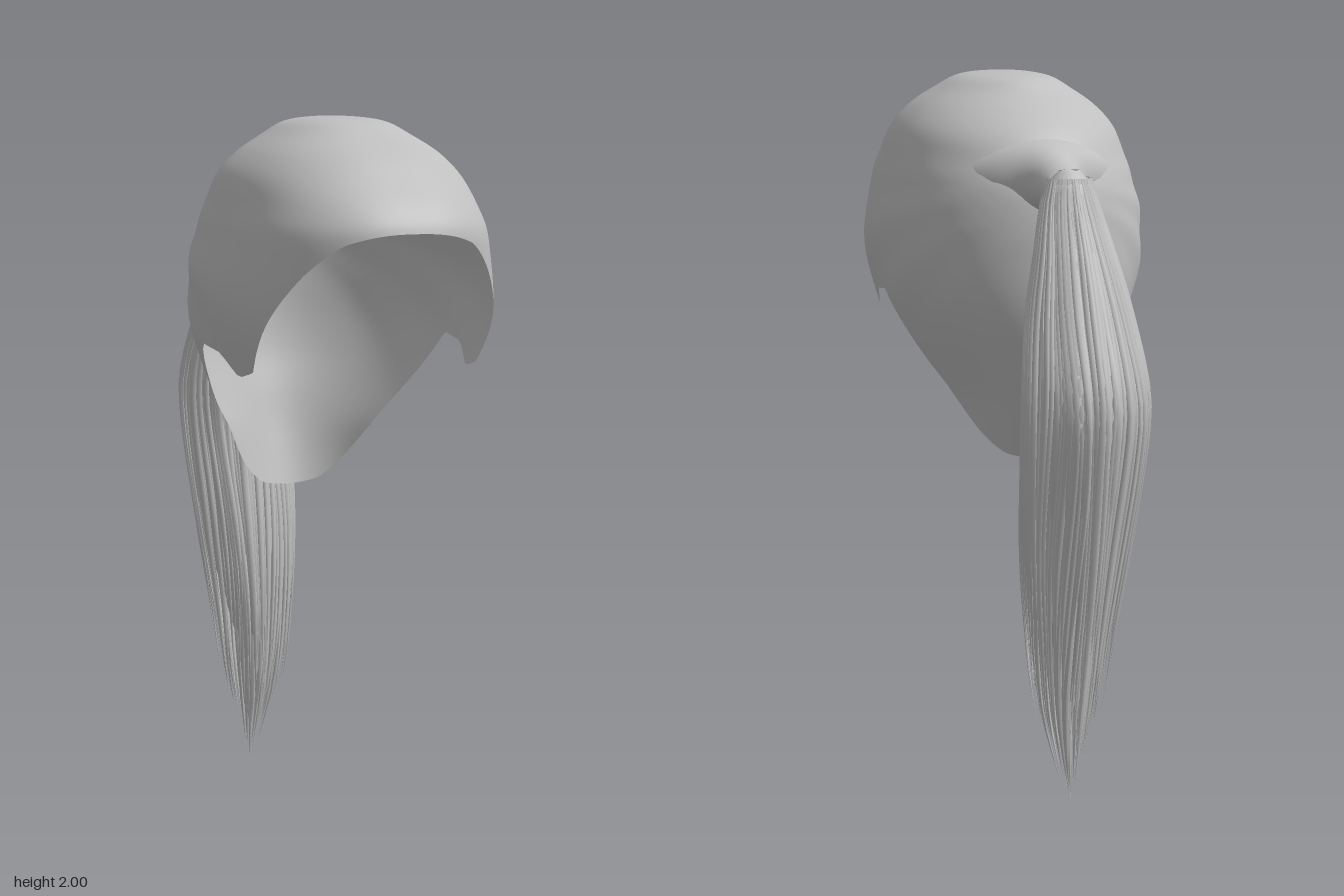
import * as THREE from 'three';

const hair = new THREE.MeshStandardMaterial({ color: 0xbfbfbf, side: THREE.DoubleSide });
hair.name = 'hair grey';

// seeded random numbers
let seed = 7;
const rand = () => (seed = (seed * 16807) % 2147483647) / 2147483647;

// look up a table of rows [key, a, b, ...], smooth or straight between rows
function lookup(table, key, smooth = true) {
  const n = table.length;
  let i = 0;
  while (i < n - 2 && key > table[i + 1][0]) i++;
  const p = table[i], q = table[i + 1], h = q[0] - p[0];
  const t = Math.min(1, Math.max(0, (key - p[0]) / h));
  const o = table[Math.max(0, i - 1)], r = table[Math.min(n - 1, i + 2)];
  return p.slice(1).map((v, k) => {
    const a = v, b = q[k + 1];
    if (!smooth) return a + (b - a) * t;
    const m0 = (b - o[k + 1]) / (q[0] - o[0]) * h;
    const m1 = (r[k + 1] - a) / (r[0] - p[0]) * h;
    const t2 = t * t, t3 = t2 * t;
    return a * (2 * t3 - 3 * t2 + 1) + m0 * (t3 - 2 * t2 + t) + b * (3 * t2 - 2 * t3) + m1 * (t3 - t2);
  });
}

// skin of closed rings: point(t, angle) with t from 0 to 1
function loft(name, rows, sides, point) {
  const pos = [], index = [];
  for (let i = 0; i <= rows; i++) {
    for (let j = 0; j < sides; j++) {
      pos.push(...point(i / rows, j / sides * Math.PI * 2));
      if (i === rows) continue;
      const a = i * sides + j, b = i * sides + (j + 1) % sides;
      index.push(a, b, a + sides, b, b + sides, a + sides);
    }
  }
  const g = new THREE.BufferGeometry();
  g.setAttribute('position', new THREE.Float32BufferAttribute(pos, 3));
  g.setIndex(index);
  g.computeVertexNormals();
  const mesh = new THREE.Mesh(g, hair);
  mesh.name = name;
  return mesh;
}

// head cap: height, front z, back z, half width
const capProfile = [
  [2, 0.2, 0.2, 0], [1.99, 0.36, 0.06, 0.11], [1.95, 0.46, -0.01, 0.19],
  [1.9, 0.55, -0.09, 0.26], [1.84, 0.62, -0.165, 0.31], [1.76, 0.7, -0.22, 0.338],
  [1.7, 0.73, -0.248, 0.36], [1.6, 0.725, -0.262, 0.383], [1.5, 0.72, -0.262, 0.388],
  [1.4, 0.72, -0.255, 0.375], [1.3, 0.72, -0.235, 0.345], [1.2, 0.72, -0.2, 0.307],
  [1.1, 0.7, -0.17, 0.26], [0.98, 0.7, -0.13, 0.245], [0.92, 0.7, -0.11, 0.24],
].map(([y, ...v]) => [Math.sqrt(2 - y), ...v]);

// hairline: position from nape (-1) to forehead (1), height
const hairline = [
  [-1, 0.92], [-0.93, 0.935], [-0.82, 0.98], [-0.54, 1.1], [-0.375, 1.2], [-0.22, 1.28],
  [-0.06, 1.385], [0.16, 1.37], [0.31, 1.31], [0.46, 1.33], [0.58, 1.42],
  [0.81, 1.6], [0.92, 1.675], [1, 1.705],
];

function capPoint(t, a) {
  const power = Math.sin(a) > 0 ? 0.8 : 1;
  const s = Math.sign(Math.sin(a)) * Math.abs(Math.sin(a)) ** power;
  const c = Math.sign(Math.cos(a)) * Math.abs(Math.cos(a)) ** power;
  const [edge] = lookup(hairline, s, false);
  const d = Math.sqrt(2 - edge) * t;
  const [zf, zb, w] = lookup(capProfile, d);
  const y = 2 - d * d;
  const z = 0.2 + s * (s > 0 ? zf - 0.2 : 0.2 - zb);
  // soft folds swept back towards the tie
  const fold = Math.sin(Math.atan2(y - 1.72, z + 0.32) * 16);
  const fade = Math.max(0, Math.min(1, (1.85 - y) * 5, (y - 1.2) * 4));
  return [w * c * (1 + 0.01 * fold * fade), y, z];
}

// gathered neck: distance back, height, half width, half height
const neckProfile = [
  [0.12, 1.72, 0.23, 0.12], [0.19, 1.725, 0.16, 0.105], [0.235, 1.725, 0.1, 0.09],
  [0.28, 1.72, 0.074, 0.076], [0.34, 1.712, 0.068, 0.066], [0.39, 1.705, 0.07, 0.058],
  [0.42, 1.7, 0.045, 0.035],
];

// ponytail: drop below 1.77, centre z, half depth, half width
const tailProfile = [
  [1.77, -0.385, 0.015, 0.03], [1.75, -0.385, 0.05, 0.06], [1.68, -0.39, 0.075, 0.08],
  [1.55, -0.435, 0.105, 0.11], [1.4, -0.475, 0.145, 0.142], [1.2, -0.53, 0.182, 0.168],
  [1.05, -0.52, 0.182, 0.168], [0.75, -0.45, 0.178, 0.15], [0.5, -0.41, 0.15, 0.125],
  [0.25, -0.4, 0.1, 0.095], [0, -0.425, 0.02, 0.02],
].map(([y, ...v]) => [1.77 - y, ...v]);

// one tapering strand hugging the ponytail at a given angle and depth
function strand(angle, depth, end, size) {
  return loft('strand', 22, 5, (t, a) => {
    const drop = 0.02 + (1.75 - end) * t;
    const [z, rz, rx] = lookup(tailProfile, drop);
    const r = size * Math.min(1, 0.4 + t * 3) * Math.max(0, 1 - t ** 5);
    const wave = angle + 0.05 * Math.sin(t * 7 + angle * 5);
    const u = Math.cos(a) * r * 0.5, v = Math.sin(a) * r;
    const cx = Math.cos(wave), cz = Math.sin(wave);
    return [
      cx * rx * depth + cx * u - cz * v,
      1.77 - drop,
      z + cz * rz * depth + cz * u + cx * v,
    ];
  });
}

export function createModel() {
  const model = new THREE.Group();
  model.name = 'ponytailHair';

  model.add(loft('headCap', 48, 144, capPoint));

  model.add(loft('gatheredNeck', 20, 32, (t, a) => {
    const d = 0.12 + 0.3 * t;
    const [y, rx, ry] = lookup(neckProfile, d);
    return [rx * Math.cos(a), y - ry * Math.sin(a), -d];
  }));

  const tail = new THREE.Group();
  tail.name = 'ponytail';
  // grooved core that thins out near the tip
  tail.add(loft('ponytailCore', 44, 96, (t, a) => {
    const drop = 1.55 * t;
    const [z, rz, rx] = lookup(tailProfile, drop);
    const groove = 0.95 + 0.03 * Math.sin(a * 24) * Math.min(1, t * 5);
    const k = groove * (t < 0.5 ? 1 : 1 - ((t - 0.5) / 0.5) ** 2 * 0.95);
    return [Math.cos(a) * rx * k, 1.77 - drop, z + Math.sin(a) * rz * k];
  }));
  // outer strands with uneven ends
  for (let i = 0; i < 90; i++) {
    tail.add(strand(i / 90 * Math.PI * 2, 0.92 + rand() * 0.08, 0.18 + rand() * 0.35, 0.007 + rand() * 0.007));
  }
  // long inner locks forming the pointed tip
  for (let i = 0; i < 26; i++) {
    const depth = 0.15 + 0.7 * rand();
    tail.add(strand(i * 2.4, depth, 0.02 + depth * 0.25 * rand(), 0.02));
  }
  tail.add(strand(0, 0, 0, 0.03));
  model.add(tail);
  return model;
}
